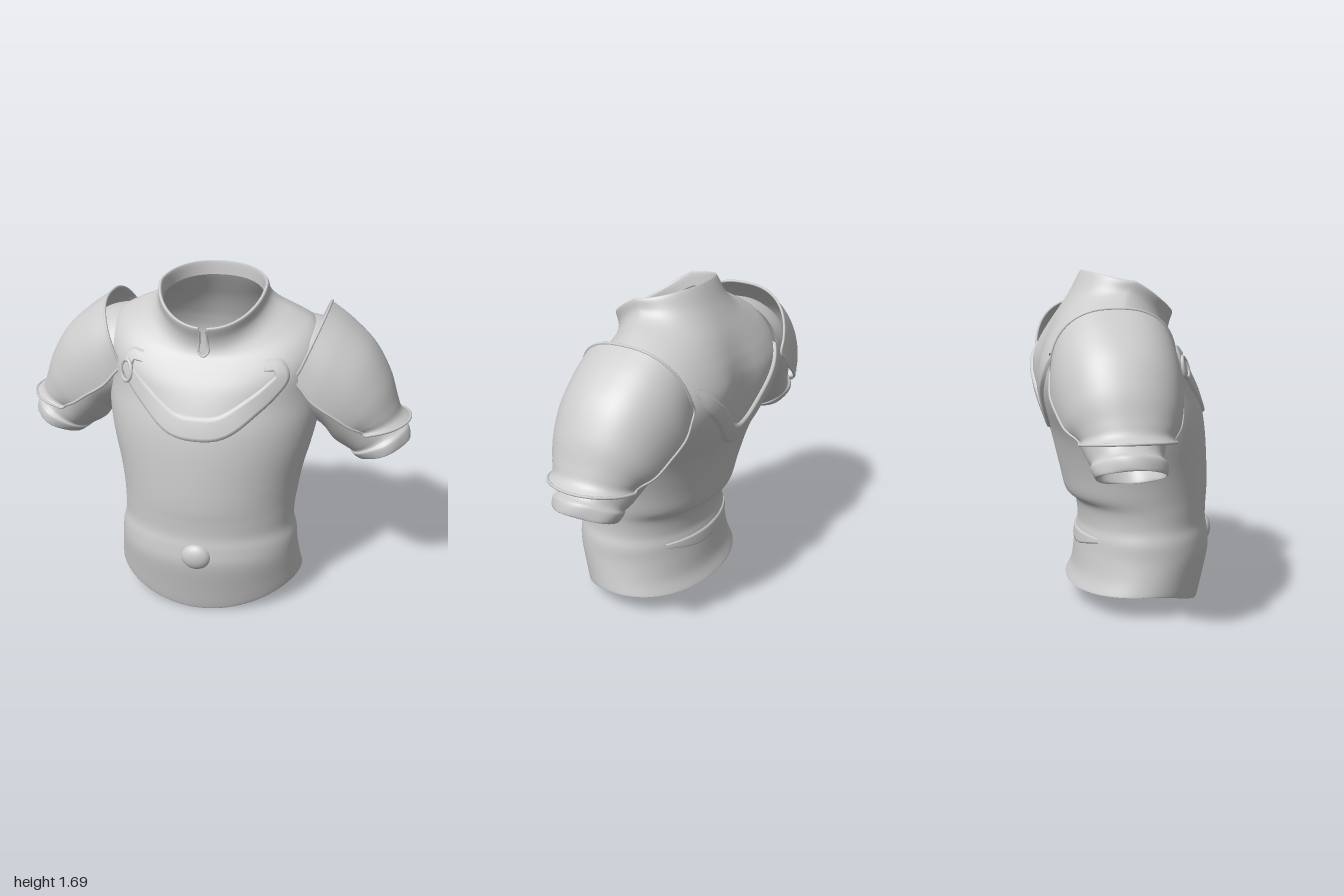
import * as THREE from 'three';

const mat = new THREE.MeshStandardMaterial({ color: 0xcccccc, side: THREE.DoubleSide, roughness: 0.8 });

function add(parent, name, geometry) {
  const mesh = new THREE.Mesh(geometry, mat);
  mesh.name = name;
  parent.add(mesh);
  return mesh;
}

// Smoothly interpolates every column of a table of sections, t in 0..1
function sample(rows, t) {
  const f = t * (rows.length - 1), i = Math.min(Math.floor(f), rows.length - 2), k = f - i;
  const at = (n) => rows[Math.max(0, Math.min(rows.length - 1, n))];
  return rows[0].map((_, c) => {
    const a = at(i - 1)[c], b = at(i)[c], d = at(i + 1)[c], e = at(i + 2)[c];
    return b + 0.5 * k * (d - a + k * (2 * a - 5 * b + 4 * d - e + k * (3 * (b - d) + e - a)));
  });
}

// Grid surface from point(t, u); closed joins the last column to the first
function grid(nT, nU, closed, point, skip = () => false) {
  const pos = [], idx = [], cols = closed ? nU : nU + 1;
  for (let i = 0; i <= nT; i++)
    for (let j = 0; j < cols; j++) pos.push(...point(i / nT, j / nU));
  for (let i = 0; i < nT; i++)
    for (let j = 0; j < nU; j++) {
      const k = (j + 1) % cols;
      const a = i * cols + j, b = i * cols + k, c = a + cols, d = b + cols;
      const mid = [0, 1, 2].map((n) => (pos[a * 3 + n] + pos[d * 3 + n]) / 2);
      if (!skip(...mid)) idx.push(a, c, b, b, c, d);
    }
  const g = new THREE.BufferGeometry();
  g.setAttribute('position', new THREE.Float32BufferAttribute(pos, 3));
  g.setIndex(idx);
  g.computeVertexNormals();
  return g;
}

const spow = (v, p) => Math.sign(v) * Math.pow(Math.abs(v), p);
const bell = (v, centre, width) => Math.exp(-(((v - centre) / width) ** 2));
const tube = (pts, r, closed = false) => new THREE.TubeGeometry(
  new THREE.CatmullRomCurve3(pts.map((p) => new THREE.Vector3(...p)), closed), pts.length * 6, r, 8, closed);

// Torso sections from hem to collar: y front, y side, y back, half width, z front, z back
const torsoRows = [
  [0.02, 0.14, 0.12, 0.48, 0.372, -0.29],
  [0.01, 0.13, 0.11, 0.488, 0.38, -0.30],
  [0.12, 0.20, 0.18, 0.478, 0.405, -0.27],
  [0.28, 0.29, 0.29, 0.466, 0.438, -0.255],
  [0.37, 0.37, 0.37, 0.46, 0.434, -0.245],
  [0.44, 0.44, 0.43, 0.444, 0.423, -0.235],
  [0.52, 0.52, 0.53, 0.445, 0.425, -0.25],
  [0.60, 0.60, 0.58, 0.455, 0.43, -0.30],
  [0.72, 0.72, 0.70, 0.475, 0.427, -0.33],
  [0.88, 0.88, 0.88, 0.515, 0.415, -0.375],
  [1.00, 1.02, 1.02, 0.54, 0.395, -0.425],
  [1.10, 1.16, 1.14, 0.545, 0.36, -0.45],
  [1.19, 1.29, 1.24, 0.545, 0.32, -0.45],
  [1.26, 1.39, 1.32, 0.535, 0.28, -0.425],
  [1.31, 1.46, 1.39, 0.495, 0.25, -0.39],
  [1.345, 1.515, 1.46, 0.405, 0.23, -0.35],
  [1.38, 1.555, 1.53, 0.32, 0.222, -0.305],
  [1.42, 1.59, 1.60, 0.28, 0.228, -0.262],
  [1.475, 1.635, 1.68, 0.27, 0.248, -0.22],
  [1.475, 1.635, 1.685, 0.254, 0.232, -0.21],
  [1.41, 1.57, 1.62, 0.247, 0.215, -0.205],
];

function torsoPoint(t, u) {
  const [yf, ys, yb, w, zf, zb] = sample(torsoRows, t);
  const a = u * Math.PI * 2, c = Math.cos(a), s = Math.sin(a), mid = (zf + zb) / 2;
  // Squarer across the shoulder blades and the front of the shoulders
  const n = s > 0 ? 2 + 0.4 * bell(ys, 1.38, 0.15) : 2.1 + 1.3 * bell(ys, 1.23, 0.24);
  const x = w * spow(c, 2 / n), y = ys + ((s > 0 ? yf : yb) - ys) * Math.pow(Math.abs(s), 2 - 0.5 * ys);
  let z = mid + (zf - mid) * spow(s, 2 / n);
  // Spine groove between the shoulder blades
  if (s < 0) z += 0.035 * bell(x, 0, 0.14) * bell(y, 1.2, 0.2);
  return [x, y, z];
}

// Sleeve sections: lower x, y, upper x, y, z half depth
const sleeveRows = [
  [0.46, 0.97, 0.44, 1.47, 0.27],
  [0.555, 0.915, 0.62, 1.42, 0.265],
  [0.61, 0.84, 0.79, 1.22, 0.22],
  [0.67, 0.80, 0.90, 1.0, 0.175],
  [0.695, 0.785, 0.945, 0.945, 0.16],
  [0.70, 0.775, 0.98, 0.925, 0.17],
  [0.735, 0.755, 0.995, 0.875, 0.16],
  [0.745, 0.765, 0.98, 0.875, 0.148],
  [0.70, 0.83, 0.92, 0.96, 0.14],
];

// Shoulder plate sections: top x, y, lower edge x, y, z front, z back
const plateRows = [
  [0.56, 1.525, 0.44, 1.23, 0.175, -0.41],
  [0.67, 1.45, 0.52, 1.13, 0.19, -0.42],
  [0.79, 1.34, 0.62, 1.06, 0.18, -0.40],
  [0.875, 1.20, 0.70, 1.0, 0.155, -0.37],
  [0.92, 1.07, 0.75, 0.97, 0.125, -0.33],
  [0.945, 1.01, 0.77, 0.955, 0.11, -0.315],
  [0.99, 0.98, 0.785, 0.945, 0.115, -0.318],
];

function platePoint(t, u, side) {
  const [tx, ty, ex, ey, zf, zb] = sample(plateRows, t);
  const a = u * Math.PI, mid = (zf + zb) / 2, round = 0.2 * t;
  const h = Math.pow(Math.abs(Math.sin(a)), 0.82 + round);
  return [side * (ex + (tx - ex) * h), ey + (ty - ey) * h, mid + (zf - mid) * spow(Math.cos(a), 0.8 + round)];
}

export function createModel() {
  const group = new THREE.Group();
  group.name = 'armouredTunic';

  // Torso with collar and an open throat slit
  const torso = add(group, 'torso', grid(110, 160, true, torsoPoint,
    (x, y, z) => Math.abs(x) < 0.018 && z > 0.1 && y > 1.34));

  // Finds the torso surface in front (dir 1) or behind (dir -1)
  const ray = new THREE.Raycaster();
  const surface = (x, y, dir) => {
    ray.set(new THREE.Vector3(x, y, dir * 3), new THREE.Vector3(0, 0, -dir));
    const hit = ray.intersectObject(torso)[0];
    return hit ? hit.point.z : 0;
  };

  // Raised band lying on the torso; path points are x, y, half width
  const band = (name, path, dir, height) => {
    const curve = new THREE.CatmullRomCurve3(path.map((p) => new THREE.Vector3(...p)));
    const across = [[-1, -0.003], [-0.85, height * 0.8], [-0.6, height], [0.6, height], [0.85, height * 0.8], [1, -0.003]];
    add(group, name, grid(path.length * 6, 5, false, (t, u) => {
      const p = curve.getPoint(t), d = curve.getTangent(t), l = Math.hypot(d.x, d.y);
      const [v, h] = across[Math.round(u * 5)];
      const x = p.x - (d.y / l) * v * p.z, y = p.y + (d.x / l) * v * p.z;
      return [x, y, surface(x, y, dir) + dir * h];
    }));
  };
  const mirrored = (half) => [...half.slice(1).reverse().map(([x, y, h]) => [-x, y, h]), ...half];

  // Chest and back yokes, with hooked ends in front
  band('chestYoke', mirrored([[0, 1.02, 0.06], [0.12, 1.035, 0.058], [0.26, 1.13, 0.048], [0.34, 1.2, 0.042],
    [0.385, 1.26, 0.035], [0.36, 1.31, 0.03], [0.30, 1.31, 0.025]]), 1, 0.015);
  band('backYoke', mirrored([[0, 0.95, 0.055], [0.09, 0.985, 0.05], [0.22, 1.12, 0.045], [0.32, 1.22, 0.04],
    [0.38, 1.3, 0.02]]), -1, 0.016);

  // Belt fold behind and half-round belt knot in front
  band('backBeltFold', mirrored([[0, 0.343, 0.035], [0.1, 0.345, 0.035], [0.3, 0.37, 0.012]]), -1, 0.008);
  const knot = add(group, 'beltKnot', new THREE.SphereGeometry(1, 28, 18, 0, Math.PI));
  knot.scale.set(0.075, 0.068, 0.042);
  knot.position.set(0.005, 0.34, 0.426);

  // Loop at the right end of the chest yoke
  const loop = [];
  for (let i = 0; i < 10; i++) {
    const a = (i / 10) * Math.PI * 2, x = -0.385 + 0.03 * Math.cos(a), y = 1.235 + 0.05 * Math.sin(a);
    loop.push([x, y, surface(x, y, 1) + 0.015]);
  }
  add(group, 'yokeLoop', tube(loop, 0.01, true));

  // Border of the throat slit
  const slit = mirrored([[0, 1.335], [0.024, 1.355], [0.021, 1.4], [0.017, 1.46]]);
  add(group, 'throatSlitBorder', tube(slit.map(([x, y]) =>
    [x, y, y > 1.45 ? 0.238 : surface(Math.sign(x) * 0.03, y, 1)]), 0.006));

  for (const side of [1, -1]) {
    const arm = new THREE.Group();
    arm.name = side > 0 ? 'leftArm' : 'rightArm';
    group.add(arm);

    // Sleeve with gathered folds towards the cuff
    add(arm, 'sleeve', grid(48, 56, true, (t, u) => {
      const [lx, ly, ux, uy, zh] = sample(sleeveRows, t);
      const a = u * Math.PI * 2;
      const fold = 1 + 0.03 * t * Math.sin(5 * a + 9 * t);
      const k = 0.5 + 0.5 * Math.sin(a) * fold;
      return [side * (lx + (ux - lx) * k), ly + (uy - ly) * k, -0.12 + 0.025 * t + zh * Math.cos(a) * fold];
    }));

    // Shoulder plate with a rolled edge
    add(arm, 'shoulderPlate', grid(40, 48, false, (t, u) => platePoint(t, u, side)));
    const edge = [];
    for (let i = 0; i < 20; i++) edge.push(platePoint(0, i / 20, side));
    for (let i = 0; i < 12; i++) edge.push(platePoint(i / 12, 1, side));
    for (let i = 0; i < 20; i++) edge.push(platePoint(1, 1 - i / 20, side));
    for (let i = 0; i < 12; i++) edge.push(platePoint(1 - i / 12, 0, side));
    add(arm, 'shoulderPlateEdge', tube(edge, 0.007, true));
  }
  return group;
}
